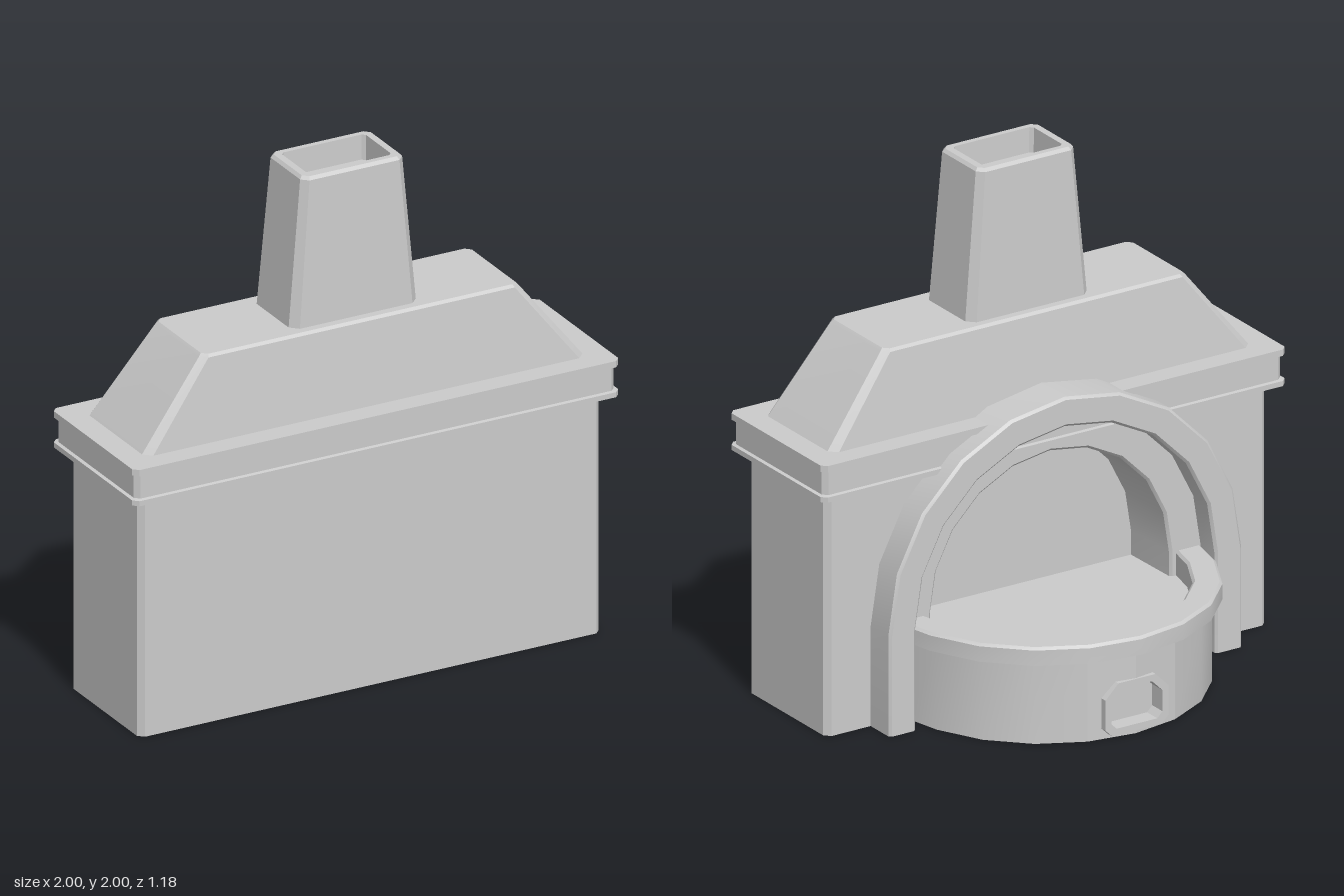
import * as THREE from 'three';
import { toCreasedNormals } from 'three/addons/utils/BufferGeometryUtils.js';

const material = new THREE.MeshStandardMaterial({ color: 0xcccccc, side: THREE.DoubleSide });

// Skin between successive cross-sections, soft on shallow bends, sharp on edges
function loft(sections, { closed = false, skip = [] } = {}) {
  const pos = [];
  for (let i = 0; i < sections.length - 1; i++) {
    const p = sections[i], q = sections[i + 1], n = p.length;
    for (let j = 0; j < (closed ? n : n - 1); j++) {
      if (skip.includes(j)) continue;
      const k = (j + 1) % n;
      pos.push(...p[j], ...p[k], ...q[k], ...p[j], ...q[k], ...q[j]);
    }
  }
  const g = new THREE.BufferGeometry();
  g.setAttribute('position', new THREE.Float32BufferAttribute(pos, 3));
  return toCreasedNormals(g, 0.5);
}

// Plan rectangle with cut corners; the closing segment is the back edge
function rect(y, hx, z0, z1, c) {
  return [[-hx + c, y, z0], [-hx, y, z0 + c], [-hx, y, z1 - c], [-hx + c, y, z1],
    [hx - c, y, z1], [hx, y, z1 - c], [hx, y, z0 + c], [hx - c, y, z0]];
}
const block = rows => loft(rows.map(r => rect(...r)), { closed: true });

const SEG = 10, SPRING = 0.39, BOWL_Z = 0.055;

// Points of an arch with straight legs down to the ground
function archPoints(r) {
  const pts = [[r, 0]];
  for (let i = 0; i <= SEG; i++) {
    const a = (i / SEG) * Math.PI;
    pts.push([r * Math.cos(a), SPRING + r * Math.sin(a)]);
  }
  pts.push([-r, 0]);
  return pts;
}

// Half ring of the hearth, bulging to the back and ending at the arch step
function bowlRing(r, y) {
  return Array.from({ length: SEG + 1 }, (_, i) => {
    const a = (i / SEG) * Math.PI;
    return [r * Math.cos(a), y, Math.min(0, BOWL_Z - r * Math.sin(a))];
  });
}

const shapeOf = pts => new THREE.Shape(pts.map(p => new THREE.Vector2(...p)));

// Small door outline with cut corners
function doorPoints(hx, y0, y1, c) {
  return [[-hx + c / 2, y0], [hx - c / 2, y0], [hx, y0 + c / 2], [hx, y1 - c],
    [hx - c, y1], [-hx + c, y1], [-hx, y1 - c], [-hx, y0 + c / 2]];
}

export function createModel() {
  const model = new THREE.Group();
  model.name = 'fireplace';
  const add = (name, geometry) => {
    const mesh = new THREE.Mesh(geometry, material);
    mesh.name = name;
    model.add(mesh);
    return mesh;
  };

  // Hollow body: front and sides, then a back wall notched for the arch
  add('bodyWalls', loft([rect(0, 0.95, 0.025, 0.537, 0.022), rect(0.96, 0.95, 0.025, 0.537, 0.022)]));
  const back = shapeOf([[0.928, 0], [0.928, 0.96], [-0.928, 0.96], [-0.928, 0],
    // the crown of the notch stays just below the mantel
    ...archPoints(0.75).reverse().map(([x, y]) => [x, Math.min(y, 0.955)])]);
  add('bodyBackWall', new THREE.ShapeGeometry(back)).position.z = 0.025;

  // Mantel with a shallow groove between two lips
  add('mantel', block([
    [0.942, 0, 0.28, 0.28, 0], [0.942, 1, -0.03, 0.59, 0.02], [0.962, 1, -0.03, 0.59, 0.02],
    [0.965, 0.987, -0.017, 0.577, 0.018], [1.057, 0.987, -0.017, 0.577, 0.018],
    [1.06, 1, -0.03, 0.59, 0.02], [1.085, 1, -0.03, 0.59, 0.02], [1.085, 0, 0.28, 0.28, 0],
  ]));

  // Sloping hood
  add('hood', block([
    [1.08, 0.91, 0.055, 0.505, 0.03], [1.405, 0.655, 0.095, 0.47, 0.025],
    [1.415, 0.645, 0.105, 0.46, 0.02], [1.415, 0, 0.28, 0.28, 0],
  ]));

  // Tapered chimney with a sunken mouth
  add('chimney', block([
    [1.41, 0.262, 0.133, 0.43, 0.03], [1.985, 0.21, 0.148, 0.417, 0.025],
    [1.997, 0.2, 0.158, 0.407, 0.02], [1.997, 0.173, 0.18, 0.385, 0.012],
    [1.9, 0.17, 0.183, 0.382, 0.012], [1.9, 0, 0.28, 0.28, 0],
  ]));

  // Stepped arch reaching into the body and lining the firebox
  const archProfile = [[0.51, 0.3], [0.76, 0.3], [0.76, -0.09], [0.75, -0.1], [0.655, -0.1],
    [0.645, -0.09], [0.645, 0], [0.525, 0], [0.515, 0.01], [0.51, 0.25], [0.51, 0.3]];
  add('archAndFirebox', loft(archProfile.map(([r, z]) => archPoints(r).map(([x, y]) => [x, y, z]))));
  add('fireboxBack', new THREE.ShapeGeometry(shapeOf(archPoints(0.51)))).position.z = 0.25;

  // Hearth floor: firebox rectangle joined to the half round
  const floor = shapeOf([[-0.51, -0.25], [0.51, -0.25],
    ...bowlRing(0.58, 0).map(([x, , z]) => [x, -z])]);
  const floorGeometry = new THREE.ShapeGeometry(floor);
  floorGeometry.rotateX(-Math.PI / 2);
  add('hearthFloor', floorGeometry).position.y = 0.295;

  // Hearth wall, leaving out the two facets that hold the door
  const R = 0.61;
  add('hearthWall', loft([bowlRing(R, 0), bowlRing(R, 0.325)], { skip: [4, 5] }));
  const rimProfile = [[0.6, 0.32], [0.648, 0.32], [0.648, 0.38], [0.638, 0.39],
    [0.55, 0.39], [0.54, 0.38], [0.54, 0.29]];
  add('hearthRim', loft(rimProfile.map(([r, y]) => bowlRing(r, y))));

  // Facets around the door, mirrored, slanted to follow the wall
  const [ex, , ez] = bowlRing(R, 0)[SEG / 2 - 1];
  const apex = BOWL_Z - R;
  const half = new THREE.ShapeGeometry(shapeOf([[0, 0], [ex, 0], [ex, 0.325], [0, 0.325],
    [0, 0.2], [0.07, 0.2], [0.12, 0.15], [0.12, 0.055], [0.095, 0.03], [0, 0.03]]));
  const p = half.attributes.position;
  for (let i = 0; i < p.count; i++) p.setZ(i, apex + (ez - apex) * (p.getX(i) / ex));
  half.computeVertexNormals();
  for (const side of [1, -1]) add('doorSurround', half).scale.x = side;

  // Door frame and its recessed panel
  const frame = shapeOf(doorPoints(0.135, 0.015, 0.215, 0.055));
  frame.holes.push(new THREE.Path(doorPoints(0.11, 0.04, 0.19, 0.045).map(q => new THREE.Vector2(...q))));
  add('doorFrame', new THREE.ExtrudeGeometry(frame, { depth: 0.08, bevelEnabled: false })).position.z = -0.562;
  add('doorPanel', new THREE.ShapeGeometry(shapeOf(doorPoints(0.12, 0.03, 0.2, 0.05)))).position.z = -0.495;

  return model;
}
